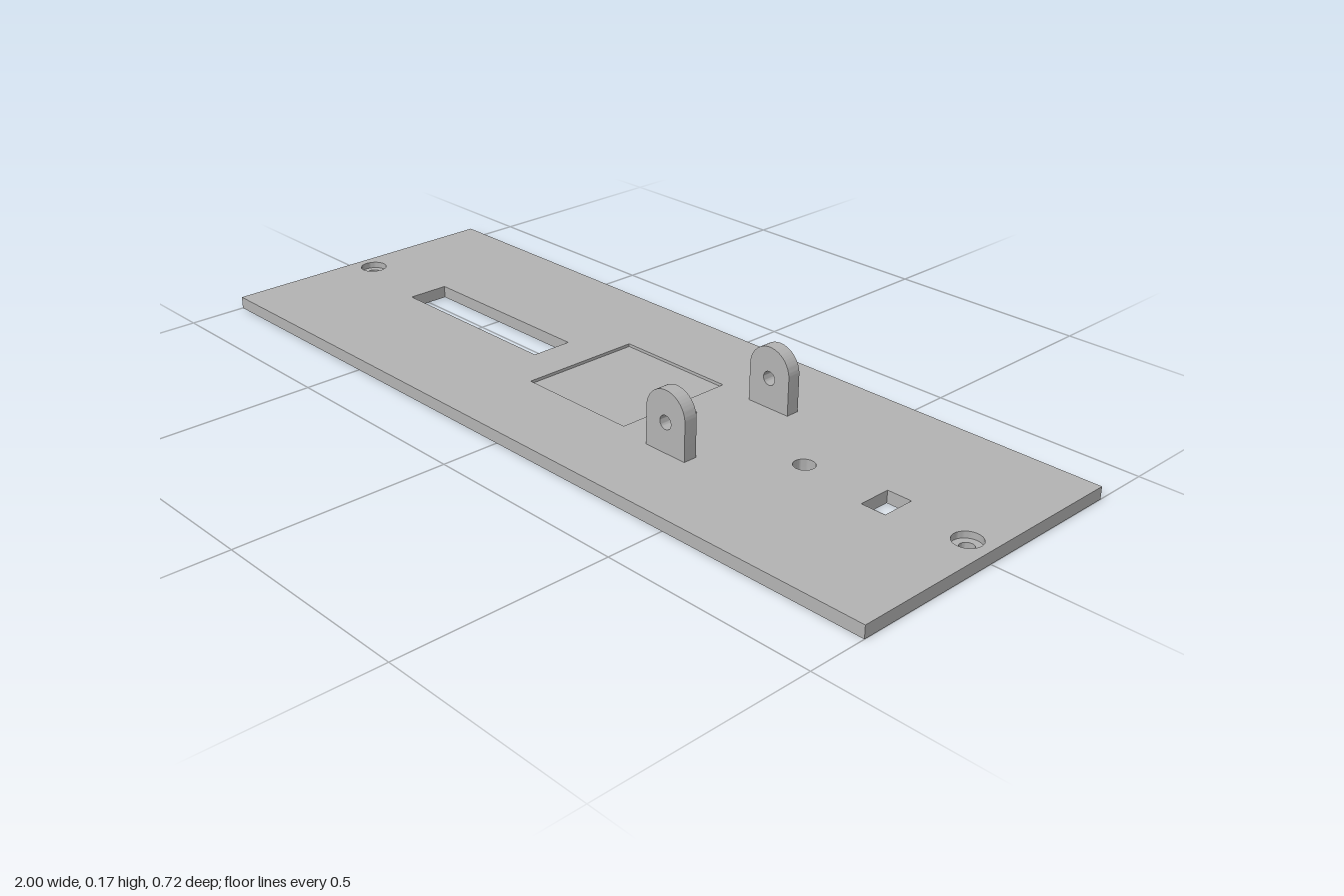
import * as THREE from 'three';
import { mergeGeometries, toCreasedNormals } from 'three/addons/utils/BufferGeometryUtils.js';

const T = 0.029;            // plate thickness
const RECESS_FLOOR = 0.022; // floor of the shallow square pocket
const BORE_FLOOR = 0.014;   // floor of the counterbores

// Counter-clockwise outlines in the plan plane
function rect(x0, x1, h) {
  return [[x0, -h], [x1, -h], [x1, h], [x0, h]].map(([x, y]) => new THREE.Vector2(x, y));
}
function circle(cx, r, n = 32) {
  return Array.from({ length: n }, (_, i) => {
    const a = (i / n) * Math.PI * 2;
    return new THREE.Vector2(cx + r * Math.cos(a), r * Math.sin(a));
  });
}

// Flat horizontal face with openings
function face(outline, holes, y, up = true) {
  const shape = new THREE.Shape(outline);
  shape.holes = holes.map((h) => new THREE.Path(h));
  const g = new THREE.ShapeGeometry(shape).toNonIndexed();
  g.deleteAttribute('uv');
  g.rotateX(up ? -Math.PI / 2 : Math.PI / 2);
  return g.translate(0, y, 0);
}

// Vertical wall along an outline; inward walls line an opening
function wall(outline, y0, y1, inward = true) {
  const pts = inward ? [...outline].reverse() : outline;
  const pos = [];
  pts.forEach((a, i) => {
    const b = pts[(i + 1) % pts.length];
    pos.push(a.x, y0, -a.y, b.x, y0, -b.y, b.x, y1, -b.y);
    pos.push(a.x, y0, -a.y, b.x, y1, -b.y, a.x, y1, -a.y);
  });
  const g = new THREE.BufferGeometry();
  g.setAttribute('position', new THREE.Float32BufferAttribute(pos, 3));
  g.computeVertexNormals();
  return toCreasedNormals(g, 0.6);
}

function plateGeometry() {
  const edge = rect(-1, 1, 0.361);
  const recess = rect(-0.138, 0.166, 0.15);
  // Slot, pin hole, round hole and rectangular window
  const through = [
    rect(-0.714, -0.241, 0.051), circle(0.217, 0.012),
    circle(0.54, 0.024), rect(0.722, 0.781, 0.04),
  ];
  // Counterbored screw holes near both ends
  const screws = [-0.947, 0.945].map((x) => ({ bore: circle(x, 0.032), hole: circle(x, 0.016) }));

  const parts = [
    face(edge, [recess, ...through, ...screws.map((s) => s.bore)], T),
    face(edge, [...through, ...screws.map((s) => s.hole)], 0, false),
    wall(edge, 0, T, false),
    face(recess, [], RECESS_FLOOR),
    wall(recess, RECESS_FLOOR, T),
    ...through.map((h) => wall(h, 0, T)),
  ];
  for (const { bore, hole } of screws) {
    parts.push(face(bore, [hole], BORE_FLOOR), wall(bore, BORE_FLOOR, T), wall(hole, 0, BORE_FLOOR));
  }
  return mergeGeometries(parts);
}

// Upright lug with a round top and a pin hole
function lugGeometry() {
  const r = 0.056, h = 0.116, depth = 0.033;
  const s = new THREE.Shape();
  s.moveTo(-r, T);
  s.lineTo(r, T);
  s.lineTo(r, h);
  s.absarc(0, h, r, 0, Math.PI, false);
  s.closePath();
  const pin = new THREE.Path();
  pin.absarc(0, 0.099, 0.016, 0, Math.PI * 2, true);
  s.holes.push(pin);
  const g = new THREE.ExtrudeGeometry(s, { depth, bevelEnabled: false, curveSegments: 24 });
  return toCreasedNormals(g.translate(0, 0, -depth / 2), 0.6);
}

export function createModel() {
  const group = new THREE.Group();
  group.name = 'mountingPlate';
  const grey = new THREE.MeshStandardMaterial({ color: 0xb3b3b3 });
  grey.name = 'grey';

  const plate = new THREE.Mesh(plateGeometry(), grey);
  plate.name = 'plate';
  group.add(plate);

  const lugGeo = lugGeometry();
  for (const [name, z] of [['frontLug', 0.155], ['backLug', -0.154]]) {
    const lug = new THREE.Mesh(lugGeo, grey);
    lug.name = name;
    lug.position.set(0.313, 0, z);
    group.add(lug);
  }
  return group;
}
